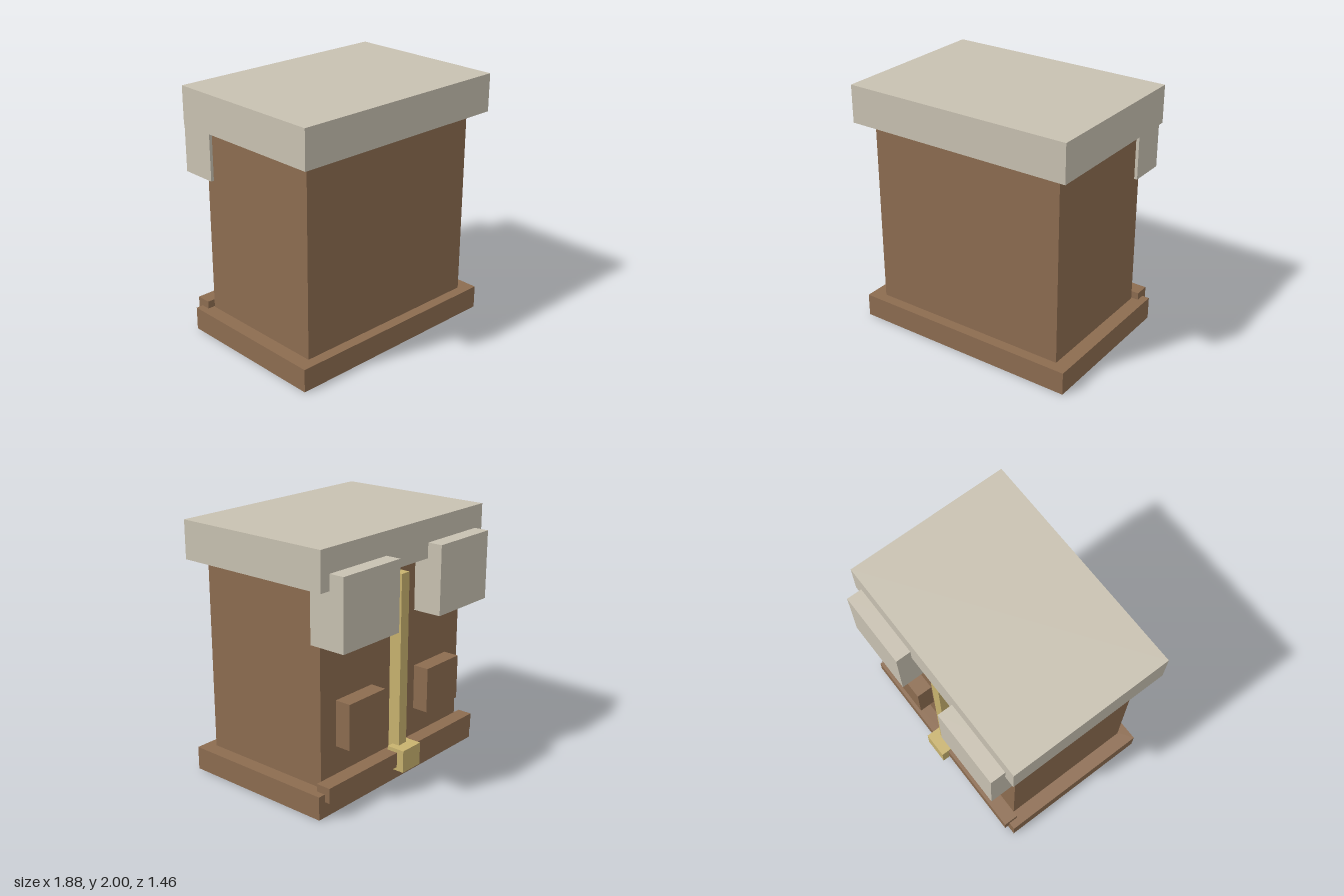
import * as THREE from 'three';

export function createModel() {
  const model = new THREE.Group();
  model.name = 'cabinet';

  const material = (name, color) => {
    const m = new THREE.MeshStandardMaterial({ color });
    m.name = name;
    return m;
  };
  const stone = material('pale stone', 0xc8c1b1);
  const wood = material('brown wood', 0x8c6c50);
  const brass = material('brass', 0xc8b26e);

  // Box given by its extents along each axis
  const box = (name, mat, [x0, x1], [y0, y1], [z0, z1]) => {
    const mesh = new THREE.Mesh(new THREE.BoxGeometry(x1 - x0, y1 - y0, z1 - z0), mat);
    mesh.position.set((x0 + x1) / 2, (y0 + y1) / 2, (z0 + z1) / 2);
    mesh.name = name;
    model.add(mesh);
  };

  // Main block between plinth and slab
  box('plinth', wood, [-0.94, 0.94], [0, 0.185], [-0.575, 0.7]);
  box('body', wood, [-0.825, 0.825], [0.185, 1.7], [-0.49, 0.615]);
  box('topSlab', stone, [-0.94, 0.94], [1.7, 2], [-0.605, 0.73]);

  // Mirrored blocks on the back
  for (const [side, s] of [['left', 1], ['right', -1]]) {
    const span = (a, b) => (s > 0 ? [a, b] : [-b, -a]);
    box(side + 'UpperBlock', stone, span(0.245, 0.85), [1.275, 1.82], [-0.727, -0.425]);
    box(side + 'BackPanel', wood, span(0.26, 0.66), [0.46, 0.82], [-0.62, -0.48]);
  }

  // Rail, upright bar and its foot at the back
  box('backRail', wood, [-0.88, 0.88], [0.125, 0.245], [-0.62, -0.5]);
  box('uprightBar', brass, [-0.045, 0.045], [0.2, 1.64], [-0.59, -0.48]);
  box('barFoot', brass, [-0.105, 0.105], [0.095, 0.275], [-0.68, -0.53]);

  return model;
}
